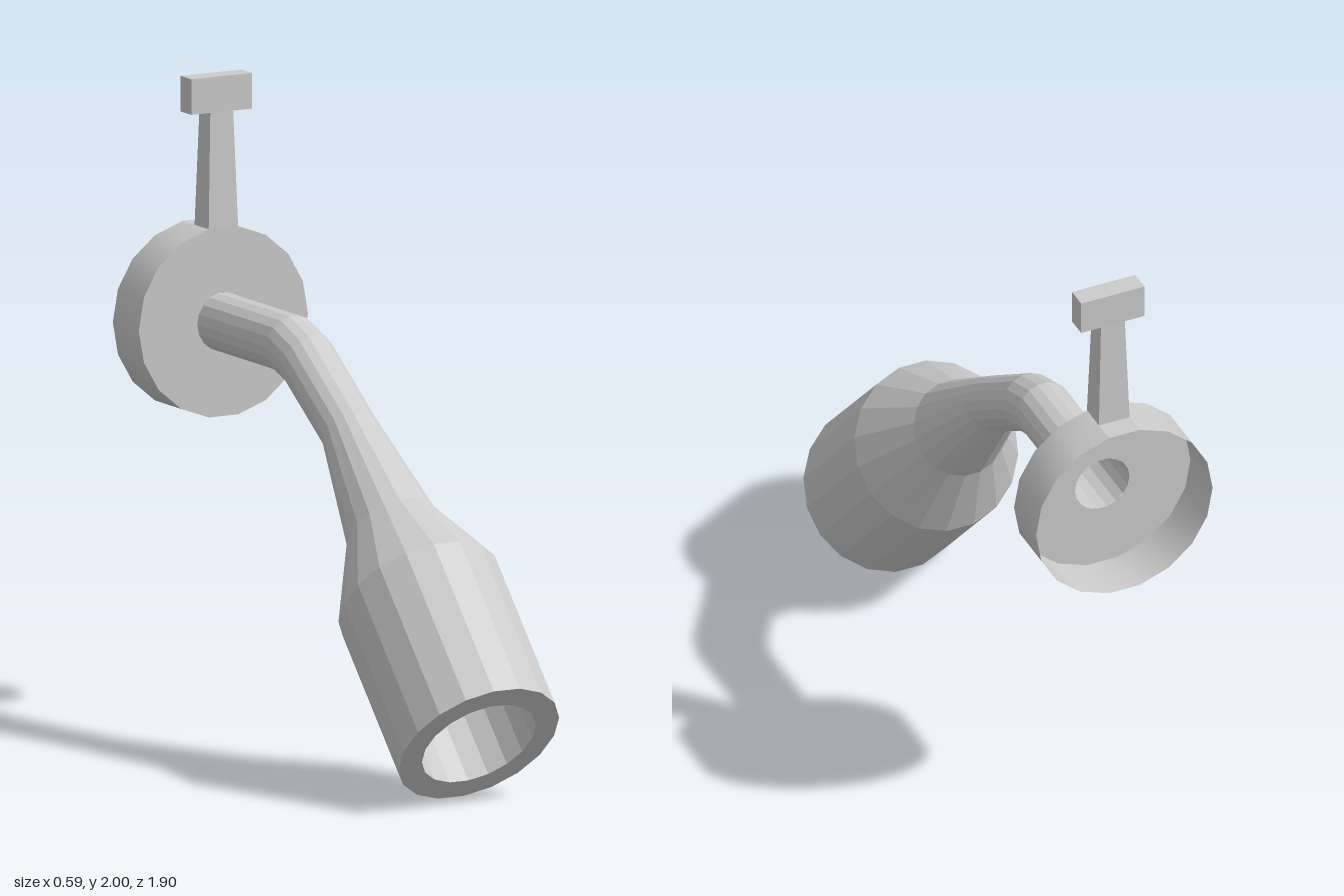
import * as THREE from 'three';

const SIDES = 18;
const STEP = (2 * Math.PI) / SIDES;
const COS = Math.cos(STEP / 2);
const AXIS_Y = 1.243;   // height of the wall plate centre
const PLATE_Z = -0.79;  // front of the wall plate
const BACK_Z = -0.95;   // open back of the wall plate
const PLATE_R = 0.295;
const ARM_R = 0.091;

const flat = new THREE.MeshStandardMaterial({ color: 0xcccccc, flatShading: true, side: THREE.DoubleSide });
const smooth = new THREE.MeshStandardMaterial({ color: 0xcccccc, side: THREE.DoubleSide });

function part(name, geometry, material = flat) {
  const mesh = new THREE.Mesh(geometry, material);
  mesh.name = name;
  return mesh;
}

// Skin a list of equal-length point rings
function loft(rings, closed = true) {
  const n = rings[0].length;
  const index = [];
  for (let i = 0; i < rings.length - 1; i++) {
    for (let k = 0; k < (closed ? n : n - 1); k++) {
      const a = i * n + k, b = i * n + ((k + 1) % n);
      index.push(a, a + n, b, b, a + n, b + n);
    }
  }
  const geometry = new THREE.BufferGeometry();
  geometry.setAttribute('position', new THREE.Float32BufferAttribute(rings.flat(2), 3));
  geometry.setIndex(index);
  geometry.computeVertexNormals();
  return geometry;
}

// Tilted ring with a flat facet on top, from its top and bottom points and half width
function ring([zTop, yTop, zBot, yBot, r]) {
  return Array.from({ length: SIDES }, (_, k) => {
    const a = (k + 0.5) * STEP, c = Math.cos(a) / COS / 2;
    return [
      r * Math.sin(a),
      (yTop + yBot) / 2 + (yTop - yBot) * c,
      (zTop + zBot) / 2 + (zTop - zBot) * c,
    ];
  });
}

const plateRing = (z, r) => ring([z, AXIS_Y + r * COS, z, AXIS_Y - r * COS, r]);

export function createModel() {
  const group = new THREE.Group();
  group.name = 'wallShower';

  // Bent hollow arm flaring into the head, then folding in to form the bore
  const sections = [
    [PLATE_Z, 1.332, PLATE_Z, 1.154, ARM_R],
    [-0.357, 1.332, -0.395, 1.154, ARM_R],
    [-0.24, 1.29, -0.295, 1.12, ARM_R],
    [0.035, 1.1, -0.065, 0.965, ARM_R],
    [0.34, 0.88, 0.15, 0.66, 0.147],
    [0.585, 0.785, 0.24, 0.4, 0.262],
    [0.955, 0.39, 0.61, 0.003, 0.262],
    [0.904, 0.333, 0.661, 0.06, 0.186],
    [0.716, 0.533, 0.473, 0.26, 0.186],
  ];
  group.add(part('armAndHead', loft(sections.map(ring))));

  // Wall plate face with the arm opening
  const outline = (r) => plateRing(0, r).map(([x, y]) => new THREE.Vector2(x, y));
  const face = new THREE.Shape(outline(PLATE_R));
  face.holes.push(new THREE.Path(outline(ARM_R)));
  const plate = part('wallPlate', new THREE.ShapeGeometry(face));
  plate.position.z = PLATE_Z;
  group.add(plate);

  // Rim of the plate, open at the top facet where the stem grows out
  const rimRings = [plateRing(BACK_Z, PLATE_R), plateRing(PLATE_Z, PLATE_R)];
  group.add(part('plateRim', loft(rimRings, false), smooth));

  // Remaining part of the top facet behind the stem
  const stemBack = -0.877;
  const halfFacet = PLATE_R * Math.sin(STEP / 2);
  const facetY = AXIS_Y + PLATE_R * COS;
  const patch = part('rimPatch', new THREE.PlaneGeometry(2 * halfFacet, stemBack - BACK_Z).rotateX(-Math.PI / 2));
  patch.position.set(0, facetY, (stemBack + BACK_Z) / 2);
  group.add(patch);

  // Tapered hollow stem and its crossbar
  const rect = (w, y, z0, z1) => [[-w, y, z0], [w, y, z0], [w, y, z1], [-w, y, z1]];
  group.add(part('handleStem', loft([
    rect(halfFacet, facetY, stemBack, PLATE_Z),
    rect(0.04, 1.89, -0.867, -0.8),
  ])));
  const bar = part('handleCrossbar', new THREE.BoxGeometry(0.212, 0.11, 0.067));
  bar.position.set(0, 1.945, -0.8335);
  group.add(bar);

  return group;
}
